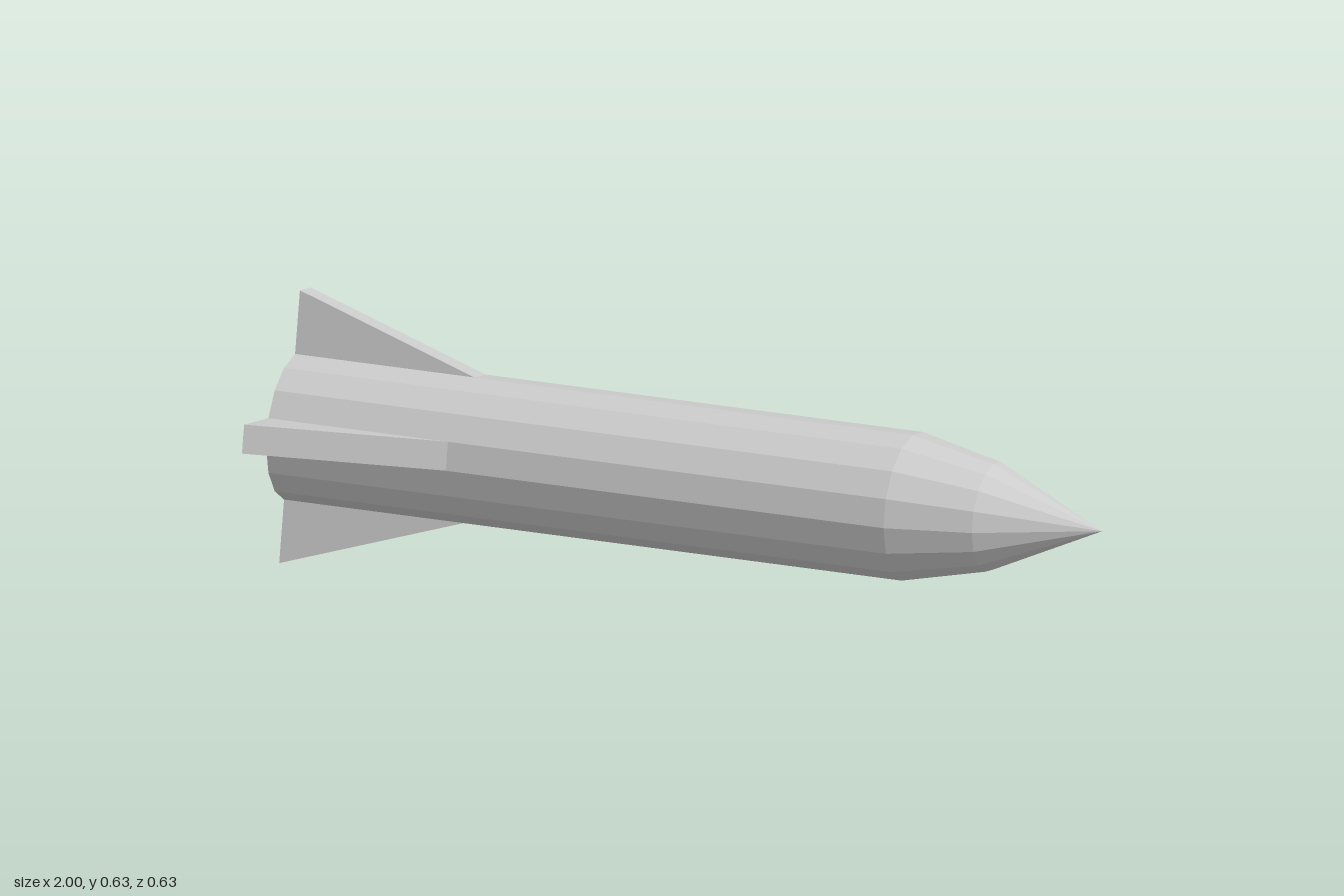
import * as THREE from 'three';

const SIDES = 16;
const RADIUS = 0.172;
const AXIS_Y = 0.317;

export function createModel() {
  const model = new THREE.Group();
  model.name = 'rocket';
  const material = new THREE.MeshStandardMaterial({ color: 0xcccccc, flatShading: true });

  // Hull lying along x: nozzle bore, rear rim, tube, shoulder and pointed nose, as (radius, x)
  const profile = [
    [0, -0.5], [0.128, -0.5], [0.128, -1], [RADIUS, -1],
    [RADIUS, 0.53], [0.127, 0.73], [0, 1],
  ].map(([r, x]) => new THREE.Vector2(r, x));
  const hull = new THREE.Mesh(new THREE.LatheGeometry(profile, SIDES).rotateZ(-Math.PI / 2), material);
  hull.name = 'hull';
  model.add(hull);

  // Fins: swept wedges, each exactly as wide as the hull facet it stands on
  const half = Math.PI / SIDES;
  const apothem = RADIUS * Math.cos(half);
  const width = 2 * RADIUS * Math.sin(half);
  const shape = new THREE.Shape([
    new THREE.Vector2(-1, apothem),
    new THREE.Vector2(-0.555, apothem),
    new THREE.Vector2(-1, 0.316),
  ]);
  const finGeometry = new THREE.ExtrudeGeometry(shape, { depth: width, bevelEnabled: false });
  finGeometry.translate(0, 0, -width / 2);
  for (let i = 0; i < 4; i++) {
    const fin = new THREE.Mesh(finGeometry, material);
    fin.name = 'fin' + (i + 1);
    fin.rotation.x = -half + (i * Math.PI) / 2;
    model.add(fin);
  }

  model.position.y = AXIS_Y;
  return model;
}
